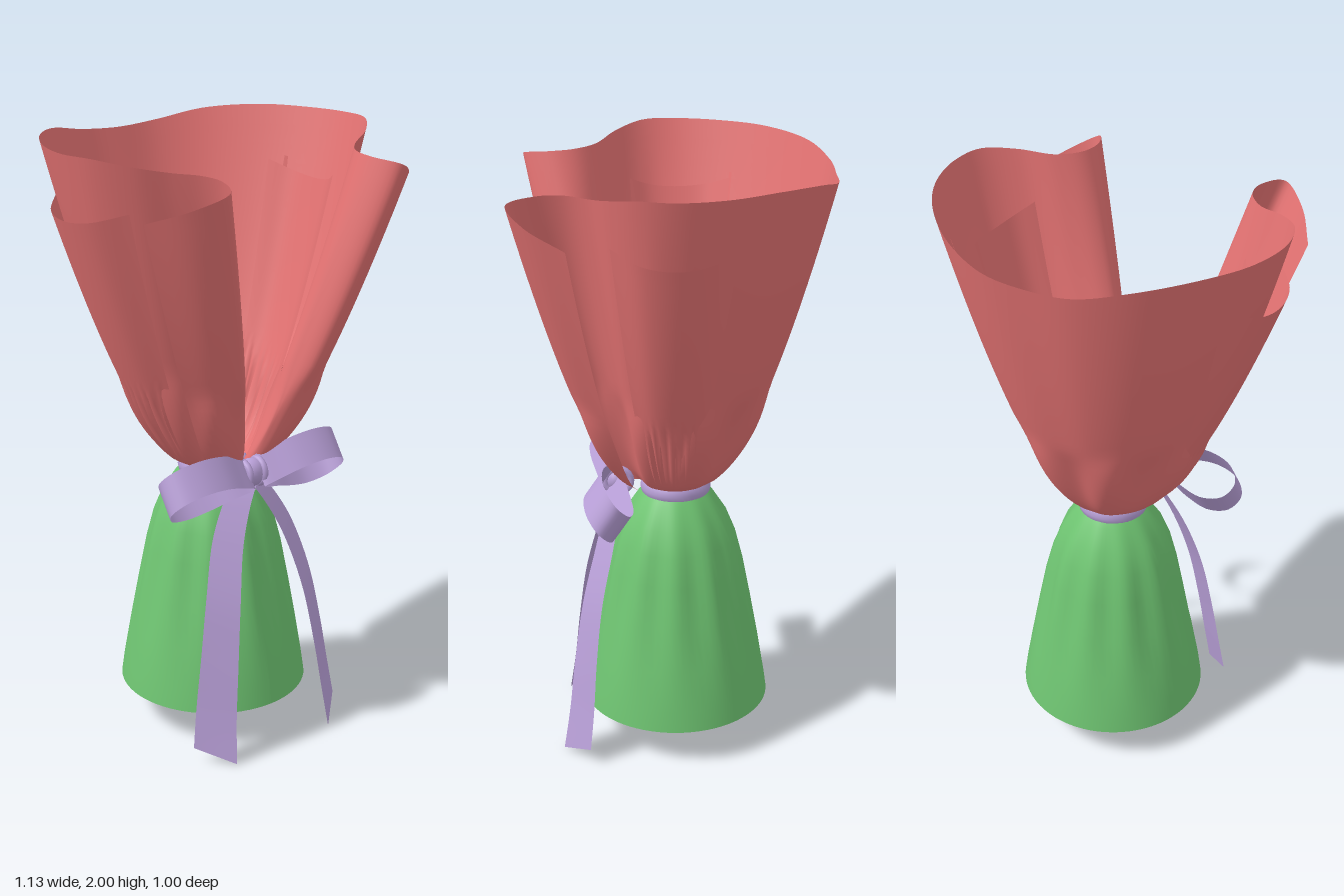
import * as THREE from 'three';

const mat = (color) => new THREE.MeshStandardMaterial({ color, side: THREE.DoubleSide });
const V = (x, y, z) => new THREE.Vector3(x, y, z);

// Smooth grid surface from a rule f(s, t) -> Vector3
function surface(f, ns, nt) {
  const pos = [], idx = [];
  for (let i = 0; i <= ns; i++)
    for (let j = 0; j <= nt; j++) pos.push(...f(i / ns, j / nt).toArray());
  for (let i = 0; i < ns; i++)
    for (let j = 0; j < nt; j++) {
      const a = i * (nt + 1) + j, b = a + nt + 1;
      idx.push(a, a + 1, b, b, a + 1, b + 1);
    }
  const g = new THREE.BufferGeometry();
  g.setAttribute('position', new THREE.Float32BufferAttribute(pos, 3));
  g.setIndex(idx);
  g.computeVertexNormals();
  return g;
}

// Paper sheet flaring from a neck curve to a rim curve; ease holds the x and z flare exponents
function paper(rim, neck, ease, ns) {
  const [r, n, e] = [rim, neck, ease].map((p) => new THREE.CatmullRomCurve3(p, false, 'centripetal'));
  return surface((s, t) => {
    const a = r.getPoint(s), b = n.getPoint(s), p = e.getPoint(s);
    const u = t * t * (0.3 + 0.7 * t) * 0.4 + t * 0.6; // denser rows near the neck
    const gather = 1 + 0.07 * Math.sin(s * 60) * Math.sin(Math.PI * Math.min(1, u / 0.35));
    const x = b.x + (a.x - b.x) * u ** p.x, z = b.z + (a.z - b.z) * u ** p.y;
    return V(x * gather, b.y + (a.y - b.y) * u, z * gather);
  }, ns, 28);
}

// Flat ribbon following a path, with a width vector that blends from w0 to w1
function ribbon(points, w0, w1, closed = false) {
  const c = new THREE.CatmullRomCurve3(points, closed, 'centripetal');
  return surface((s, t) => c.getPoint(s).addScaledVector(w0.clone().lerp(w1, s), t - 0.5), 48, 4);
}

export function createModel() {
  const group = new THREE.Group();
  const red = mat(0xe57373), green = mat(0x6fc572), lilac = mat(0xb9a0d8);
  const add = (name, geo, m, parent = group) => {
    const mesh = new THREE.Mesh(geo, m);
    mesh.name = name;
    parent.add(mesh);
    return mesh;
  };

  // Wrapping paper: rim x, y, z, then neck x, z, then x flare exponent (one half, back to front flap)
  const half = [
    [0, 1.945, -0.497, 0, -0.11, 0.63],
    [0.15, 1.955, -0.49, 0.03, -0.105, 0.63],
    [0.3, 1.985, -0.43, 0.06, -0.09, 0.63],
    [0.44, 2, -0.3, 0.085, -0.07, 0.63],
    [0.53, 2, -0.15, 0.105, -0.03, 0.63],
    [0.563, 2, 0, 0.11, 0, 0.63],
    [0.54, 2, 0.11, 0.105, 0.035, 0.63],
    [0.46, 1.98, 0.2, 0.08, 0.08, 0.67],
    [0.36, 1.96, 0.26, 0.045, 0.1, 0.8],
    [0.3, 1.955, 0.33, 0.012, 0.115, 1],
    [0.29, 1.95, 0.41, 0.008, 0.14, 1],
    [0.335, 1.935, 0.497, 0.025, 0.155, 0.95],
    [0.42, 1.89, 0.44, 0.07, 0.14, 0.8],
    [0.5, 1.84, 0.315, 0.1, 0.12, 0.75],
  ];
  const all = [
    ...half.slice(1).reverse().map(([x, y, z, nx, nz, p]) => [-x, y, z, -nx, nz, p]),
    ...half,
  ];
  add('wrappingPaper', paper(
    all.map((p) => V(p[0], p[1], p[2])),
    all.map((p) => V(p[3], 0.92, p[4])),
    all.map((p) => V(p[5], 0.64, 0)), 160), red);

  // Extra paper layers outside and inside each side of the wrap
  const layers = {
    outerLayer: [[0.46, 1.84, 0.19], [0.54, 1.81, 0.1], [0.56, 1.8, 0], [0.54, 1.81, -0.1], [0.46, 1.84, -0.19]],
    innerLayer: [[0.37, 1.84, 0.15], [0.41, 1.81, 0.08], [0.425, 1.8, 0], [0.42, 1.81, -0.1], [0.38, 1.84, -0.18]],
  };
  for (const side of [1, -1])
    for (const [name, pts] of Object.entries(layers)) {
      const neckR = name === 'outerLayer' ? 0.11 : 0.095;
      add((side > 0 ? 'left ' : 'right ') + name, paper(
        pts.map(([x, y, z]) => V(side * x, y, z)),
        pts.map((_, i) => {
          const a = (1 - i / 2) * 0.6;
          return V(side * neckR * Math.cos(a), 0.92, neckR * Math.sin(a));
        }),
        pts.map(() => V(0.68, 0.66, 0)), 24), red);
    }

  // Gathered lower skirt
  const profile = [[0.315, 0.13], [0.305, 0.2], [0.282, 0.33], [0.25, 0.48], [0.222, 0.62],
    [0.198, 0.72], [0.168, 0.8], [0.125, 0.87], [0.1, 0.9]].map(([r, y]) => new THREE.Vector2(r, y));
  const skirt = new THREE.LatheGeometry(profile, 72);
  const sp = skirt.attributes.position;
  for (let i = 0; i < sp.count; i++) {
    const x = sp.getX(i), y = sp.getY(i), z = sp.getZ(i);
    const fold = Math.sin(Math.PI * THREE.MathUtils.clamp((y - 0.3) / 0.6, 0, 1));
    const k = 1 + 0.035 * fold * Math.cos(Math.atan2(z, x) * 11);
    sp.setXYZ(i, x * k, y, z * k);
  }
  skirt.computeVertexNormals();
  add('skirt', skirt, green);
  const base = add('skirtBase', new THREE.CircleGeometry(0.315, 72), green);
  base.rotation.x = Math.PI / 2;
  base.position.y = 0.13;

  // Ribbon band around the neck, closed inside
  const band = [[0.1, 0.872], [0.112, 0.876], [0.117, 0.9], [0.112, 0.924], [0.1, 0.93], [0, 0.93]];
  add('neckBand', new THREE.LatheGeometry(band.map(([r, y]) => new THREE.Vector2(r, y)), 40), lilac);

  // Bow: knot, two loops and two tails
  const bow = new THREE.Group();
  bow.name = 'bow';
  group.add(bow);
  const knot = add('knot', new THREE.SphereGeometry(0.05, 20, 14), lilac, bow);
  knot.scale.set(1.1, 0.95, 0.85);
  knot.position.set(0, 0.925, 0.195);
  for (const x of [-0.03, 0.03]) {
    const pleat = add('knotPleat', new THREE.TorusGeometry(0.042, 0.012, 8, 20), lilac, bow);
    pleat.rotation.y = Math.PI / 2;
    pleat.position.set(x, 0.925, 0.19);
  }
  const loop = [[0.02, 0], [0.08, 0.035], [0.16, 0.068], [0.25, 0.075], [0.325, 0.05], [0.357, 0],
    [0.33, -0.055], [0.26, -0.078], [0.18, -0.062], [0.09, -0.025]];
  const tail = [[0.02, 0.9, 0.195], [0.07, 0.83, 0.21], [0.125, 0.72, 0.235], [0.175, 0.54, 0.275],
    [0.21, 0.34, 0.3], [0.235, 0.17, 0.315], [0.253, 0.03, 0.332]];
  for (const side of [1, -1]) {
    const label = side > 0 ? 'left' : 'right';
    const width = V(0, 0.09, -0.06);
    add(label + 'Loop', ribbon(
      loop.map(([x, d]) => V(side * x, 0.93 + 0.76 * d, 0.215 + 0.65 * d)), width, width, true), lilac, bow);
    add(label + 'Tail', ribbon(
      tail.map(([x, y, z]) => V(side * x, y, z)),
      V(side * 0.07, 0, -0.04), V(side * 0.105, 0.055, -0.095)), lilac, bow);
  }
  return group;
}
